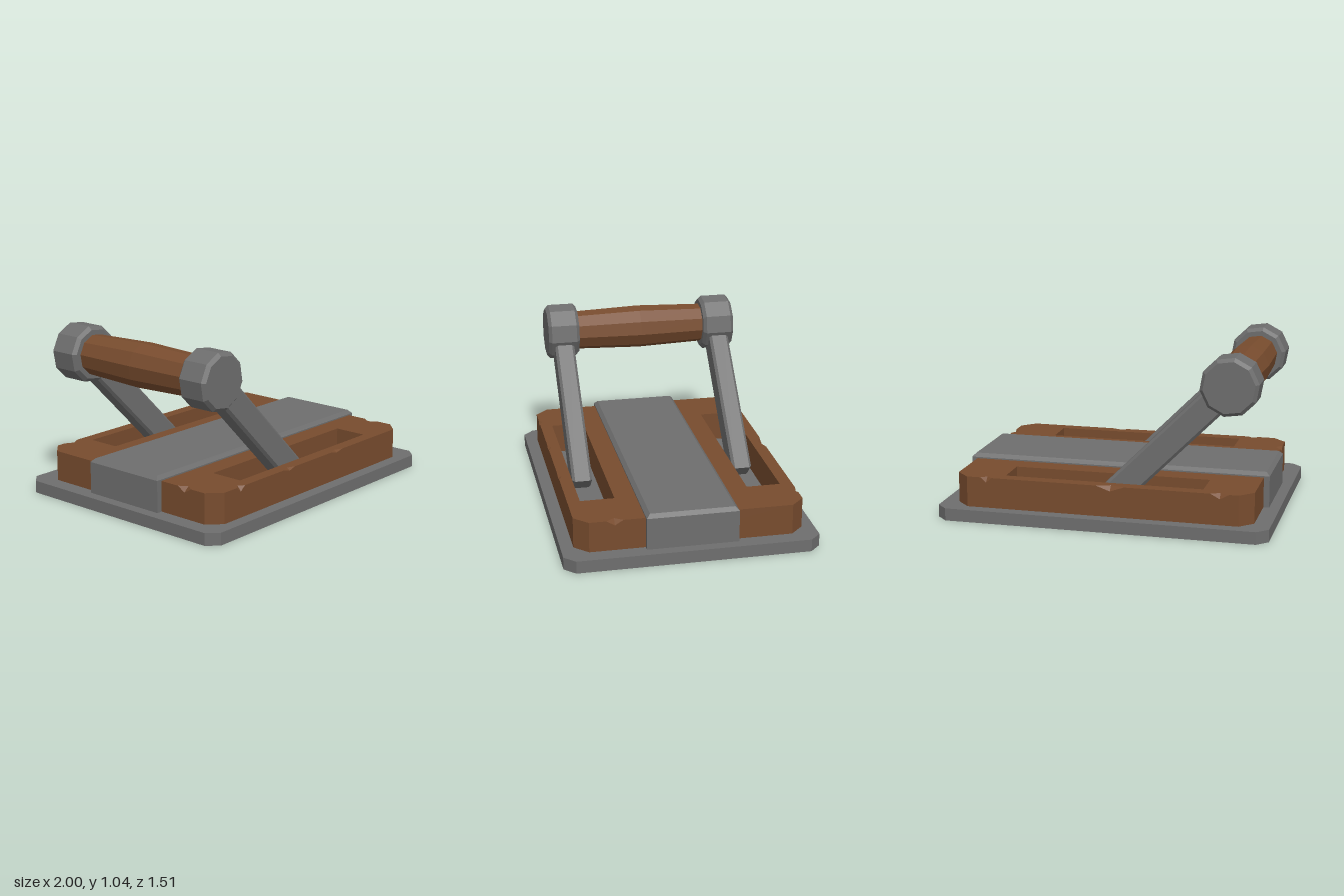
import * as THREE from 'three';

const steel = new THREE.MeshStandardMaterial({ color: 0x6e6e6e, flatShading: true });
const wood = new THREE.MeshStandardMaterial({ color: 0x784c2e, flatShading: true });

const KNOB = [-0.74, 0.866];                // hinge bar axis in x, y
const PHASE = THREE.MathUtils.degToRad(-8); // turn of the ten-sided bar and knobs

function addMesh(parent, name, geometry, material) {
  const mesh = new THREE.Mesh(geometry, material);
  mesh.name = name;
  parent.add(mesh);
  return mesh;
}

// Rectangle outline with cut corners, counter-clockwise
function cutRectangle(hx, hy, c) {
  return [[-hx + c, -hy], [hx - c, -hy], [hx, -hy + c], [hx, hy - c],
    [hx - c, hy], [-hx + c, hy], [-hx, hy - c], [-hx, -hy + c]];
}

const toShape = (points) => new THREE.Shape(points.map(([x, y]) => new THREE.Vector2(x, y)));

// Prism from z = 0 to depth, with both rims chamfered
function prism(points, depth, bevel = 0) {
  const geometry = new THREE.ExtrudeGeometry(toShape(points), {
    depth: depth - 2 * bevel, bevelEnabled: bevel > 0, bevelSize: bevel,
    bevelThickness: bevel, bevelOffset: -bevel, bevelSegments: 1,
  });
  return geometry.translate(0, 0, bevel);
}

// Wooden block with two slots and small chips knocked out of its top rim
function woodBlock(bottom, top) {
  const corners = cutRectangle(0.9, 0.68, 0.08);
  // For each straight side: [distance from side start, half width, inward depth, drop]
  const chips = {
    0: [[0.14, 0.035, 0.025, 0.03], [0.58, 0.05, 0.02, 0.015], [1.04, 0.055, 0.022, 0.012]],
    2: [[0.15, 0.05, 0.035, 0.03]],
    4: [[0.12, 0.035, 0.03, 0.03], [0.88, 0.085, 0.028, 0.03], [1.53, 0.055, 0.03, 0.03]],
    6: [[1.05, 0.05, 0.035, 0.03]],
  };
  const pos = [];
  const tri = (...corner) => corner.forEach(([x, y, h]) => pos.push(x, h, -y));
  const wall = (a, b) => {
    const a0 = [a[0], a[1], bottom], b0 = [b[0], b[1], bottom];
    tri(a0, b0, b);
    tri(a0, b, a);
  };

  // Outer walls and chips
  const rim = [];
  corners.forEach((start, i) => {
    const end = corners[(i + 1) % corners.length];
    const len = Math.hypot(end[0] - start[0], end[1] - start[1]);
    const ux = (end[0] - start[0]) / len, uy = (end[1] - start[1]) / len;
    const at = (t, inward, h) => [start[0] + ux * t - uy * inward, start[1] + uy * t + ux * inward, h];
    let last = at(0, 0, top);
    rim.push(last);
    for (const [t, w, inward, drop] of chips[i] || []) {
      const a = at(t - w, 0, top), b = at(t + w, 0, top);
      const low = at(t, 0, top - drop), inner = at(t, inward, top);
      wall(last, a);
      wall(a, low);
      wall(low, b);
      tri(a, low, inner);
      tri(low, b, inner);
      rim.push(a, inner, b);
      last = b;
    }
    wall(last, at(len, 0, top));
  });

  // Slot walls
  const shape = toShape(rim);
  for (const y0 of [-0.605, 0.4]) {
    const y1 = y0 + 0.205;
    const slot = [[-0.6, y0], [-0.6, y1], [0.6, y1], [0.6, y0]];
    shape.holes.push(new THREE.Path(slot.map(([x, y]) => new THREE.Vector2(x, y))));
    slot.forEach((p, i) => wall([...p, top], [...slot[(i + 1) % 4], top]));
  }

  // Top face
  const cap = new THREE.ShapeGeometry(shape).toNonIndexed().getAttribute('position');
  for (let i = 0; i < cap.count; i++) pos.push(cap.getX(i), top, -cap.getY(i));

  const geometry = new THREE.BufferGeometry();
  geometry.setAttribute('position', new THREE.Float32BufferAttribute(pos, 3));
  geometry.computeVertexNormals();
  return geometry;
}

export function createModel() {
  const model = new THREE.Group();
  model.name = 'floorLever';

  // Base
  addMesh(model, 'basePlate', prism(cutRectangle(1, 0.755, 0.065), 0.075).rotateX(-Math.PI / 2), steel);
  addMesh(model, 'woodBlock', woodBlock(0.07, 0.26), wood);
  const slabOutline = [[-0.935, -0.272], [0.935, -0.272], [0.935, 0.272], [-0.935, 0.272]];
  addMesh(model, 'centreSlab', prism(slabOutline, 0.25, 0.022).rotateX(-Math.PI / 2), steel)
    .position.y = 0.04;

  // Lever: two slanted arms, two knobs and the grip between them
  const lever = new THREE.Group();
  lever.name = 'lever';
  model.add(lever);

  const decagon = Array.from({ length: 10 }, (_, i) => {
    const a = PHASE + i * Math.PI / 5;
    return [0.175 * Math.cos(a), 0.175 * Math.sin(a)];
  });
  const armOutline = [[0, -0.083], [1.09, -0.083], [1.09, 0.083], [0, 0.083]];

  for (const [side, z] of [['left', 0.51], ['right', -0.51]]) {
    const arm = addMesh(lever, side + 'Arm', prism(armOutline, 0.125, 0.016), steel);
    arm.geometry.translate(0, 0, -0.0625);
    arm.position.set(KNOB[0], KNOB[1], z);
    arm.rotation.z = -Math.PI / 4;

    const knob = addMesh(lever, side + 'Knob', prism(decagon, 0.2, 0.02), steel);
    knob.geometry.translate(0, 0, -0.1);
    knob.position.set(KNOB[0], KNOB[1], z);
  }

  const profile = [[0.123, -0.42], [0.137, 0], [0.123, 0.42]].map(([r, y]) => new THREE.Vector2(r, y));
  const grip = new THREE.LatheGeometry(profile, 10, Math.PI / 2 + PHASE).rotateX(Math.PI / 2);
  addMesh(lever, 'grip', grip, wood).position.set(KNOB[0], KNOB[1], 0);

  return model;
}
